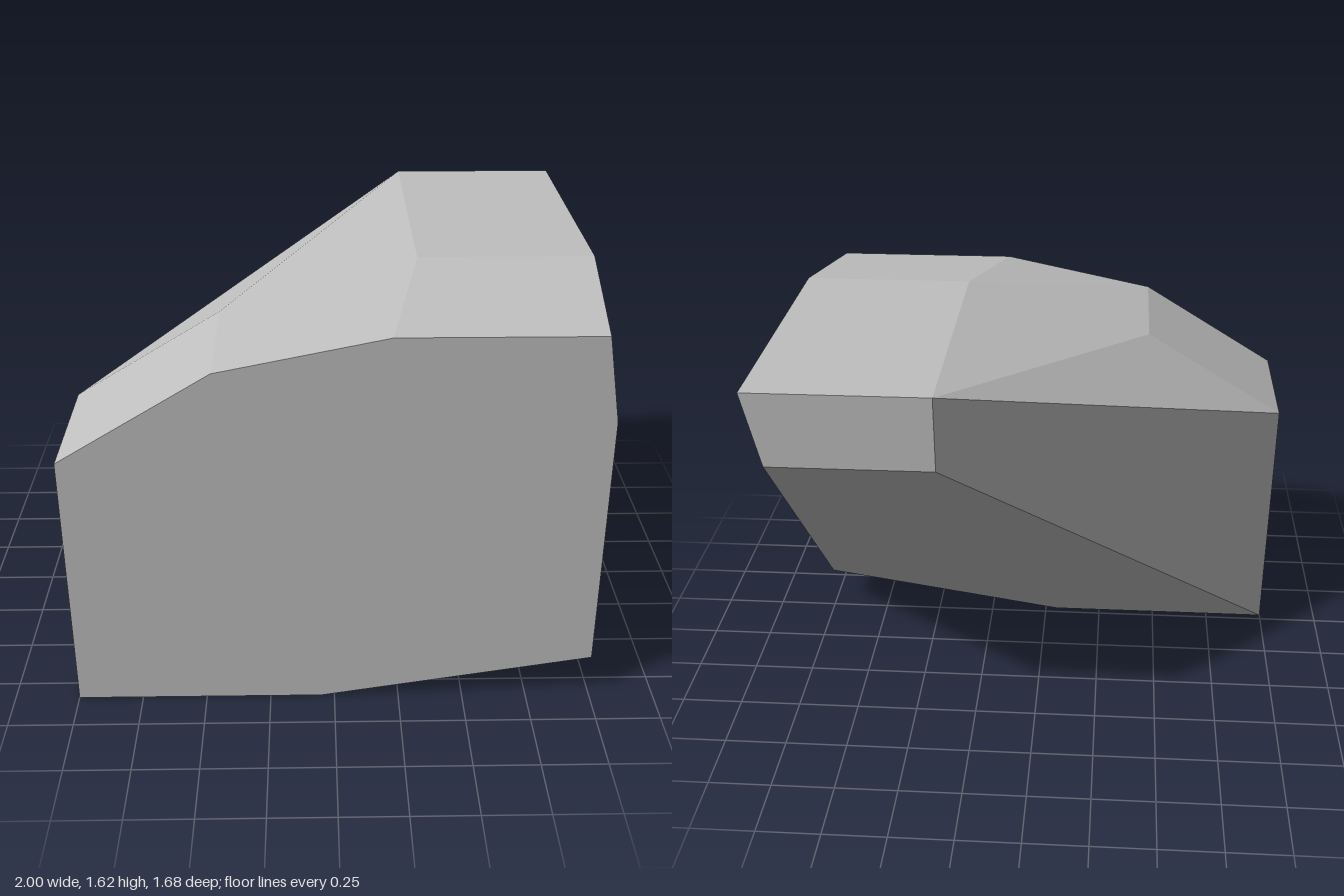
import * as THREE from 'three';
import { ConvexGeometry } from 'three/addons/geometries/ConvexGeometry.js';

export function createModel() {
  const group = new THREE.Group();
  group.name = 'facetedBlock';

  const stone = new THREE.MeshStandardMaterial({ color: 0xbfbfbf });
  stone.name = 'lightGrey';

  // Cross-sections from front to back: [z, outline of x, y corners]
  const sections = [
    [0.84, [[-1, 0], [-0.05, 0], [1, 0.17], [1, 1.2], [0.945, 1.53], [0.2, 1.53], [-0.43, 1.4], [-1, 1.05]]],
    [0.28, [[-1, 0], [-0.05, 0], [1, 0.17], [0.99, 1.615], [0.32, 1.615], [-0.43, 1.4], [-1, 1.05]]],
    [-0.84, [[0.32, 1.33], [0.93, 1.33], [0.99, 1.615], [0.32, 1.615]]],
  ];

  // The block is the flat-faced hull around its sections
  const corners = sections.flatMap(([z, outline]) =>
    outline.map(([x, y]) => new THREE.Vector3(x, y, z)));
  const block = new THREE.Mesh(new ConvexGeometry(corners), stone);
  block.name = 'block';
  group.add(block);

  return group;
}
